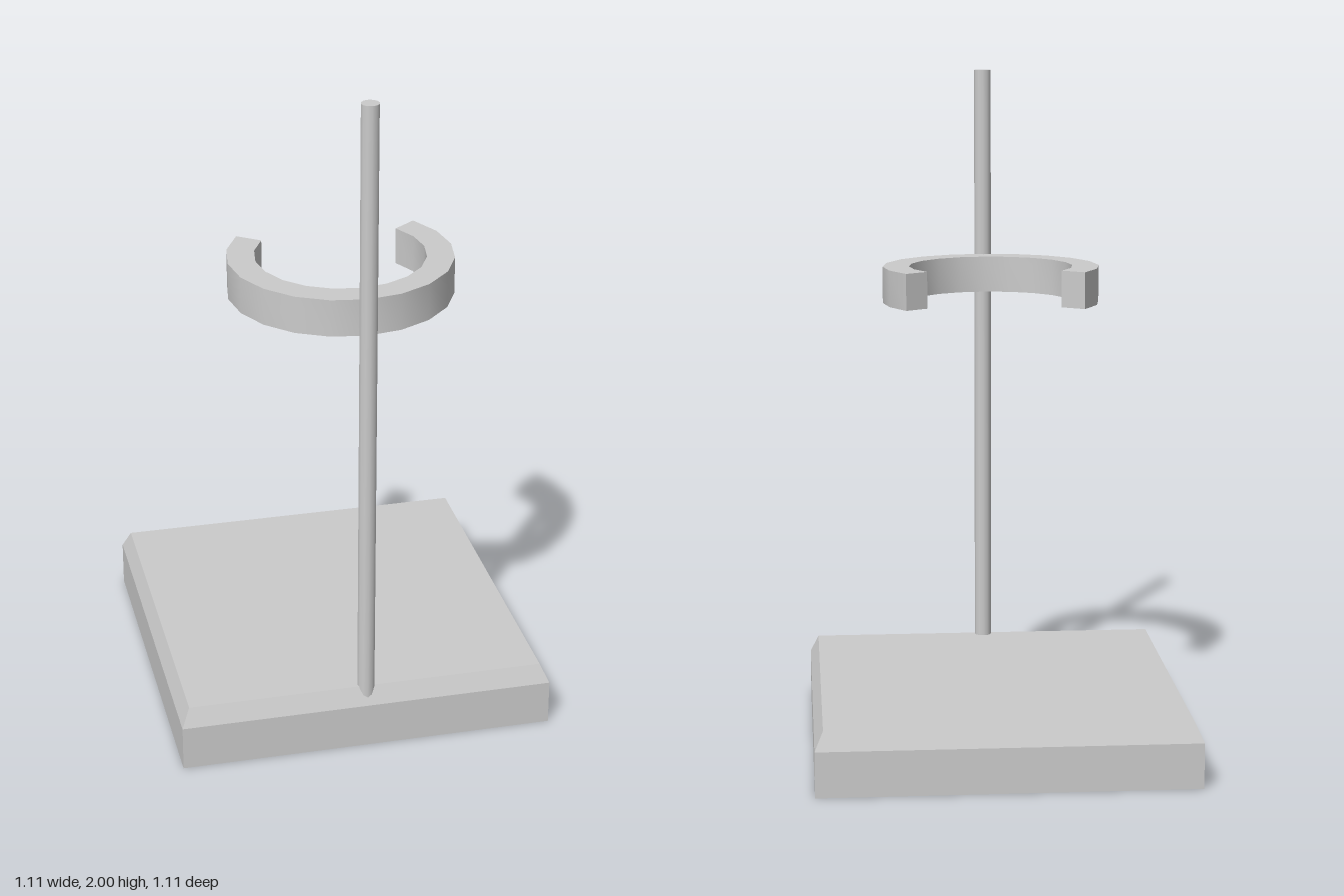
import * as THREE from 'three';
import { toCreasedNormals } from 'three/addons/utils/BufferGeometryUtils.js';

export function createModel() {
  const group = new THREE.Group();
  const smooth = new THREE.MeshStandardMaterial({ color: 0xcccccc });
  const flat = new THREE.MeshStandardMaterial({ color: 0xcccccc, flatShading: true });

  const add = (name, geometry, material, x, y, z) => {
    const mesh = new THREE.Mesh(geometry, material);
    mesh.name = name;
    mesh.position.set(x, y, z);
    group.add(mesh);
  };

  // Square base with a bevelled top edge: a four-sided lathe
  const profile = [[0, 0], [0.556, 0], [0.556, 0.135], [0.531, 0.19], [0, 0.19]]
    .map(([half, y]) => new THREE.Vector2(half * Math.SQRT2, y));
  add('base', new THREE.LatheGeometry(profile, 4, Math.PI / 4), flat, 0, 0, 0);

  // Upright rod near the front edge, sunk into the base
  const bottom = 0.1;
  const rod = new THREE.CylinderGeometry(0.026, 0.026, 2 - bottom, 12);
  add('rod', rod, smooth, 0, (2 + bottom) / 2, 0.52);

  // Open ring holder, gap facing the back: 14 steps of 18 degrees
  const start = THREE.MathUtils.degToRad(144);
  const end = THREE.MathUtils.degToRad(396);
  const shape = new THREE.Shape();
  shape.absarc(0, 0, 0.328, start, end, false);
  shape.absarc(0, 0, 0.248, end, start, true);
  shape.closePath();
  const ring = new THREE.ExtrudeGeometry(shape, { depth: 0.11, bevelEnabled: false, curveSegments: 7 });
  ring.rotateX(-Math.PI / 2);
  add('ringHolder', toCreasedNormals(ring, 0.5), smooth, 0, 1.315, 0.18);

  return group;
}
